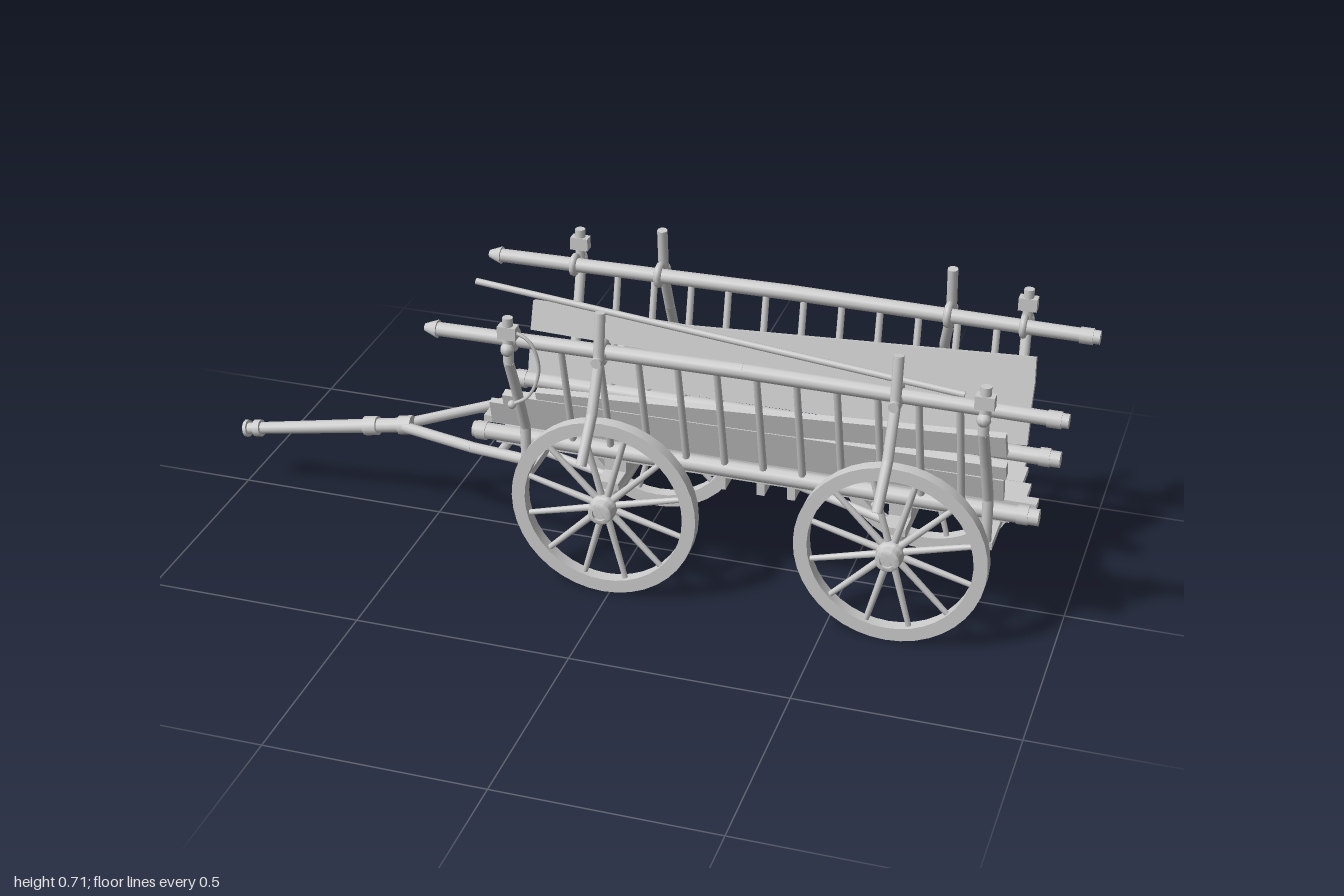
import * as THREE from 'three';
import { toCreasedNormals } from 'three/addons/utils/BufferGeometryUtils.js';

const mat = new THREE.MeshStandardMaterial({ color: 0xcccccc });
const V = (x, y, z) => new THREE.Vector3(x, y, z);
const UP = V(0, 1, 0);

function add(parent, name, geo, x = 0, y = 0, z = 0) {
  const m = new THREE.Mesh(geo, mat);
  m.name = name;
  m.position.set(x, y, z);
  parent.add(m);
  return m;
}

// round pole between two points
function pole(parent, name, a, b, r0, r1 = r0, sides = 10) {
  const d = b.clone().sub(a);
  const m = add(parent, name, new THREE.CylinderGeometry(r1, r0, d.length(), sides));
  m.position.copy(a).addScaledVector(d, 0.5);
  m.quaternion.setFromUnitVectors(UP, d.normalize());
  return m;
}

// bent pole with rounded joints
function bentPole(parent, name, pts, r) {
  const g = new THREE.Group();
  g.name = name;
  parent.add(g);
  for (let i = 0; i < pts.length - 1; i++) {
    pole(g, name + 'Length', pts[i], pts[i + 1], r);
    if (i) add(g, name + 'Joint', new THREE.SphereGeometry(r, 10, 8), ...pts[i].toArray());
  }
  return g;
}

function lathe(pts) {
  const geo = new THREE.LatheGeometry(pts.map(p => new THREE.Vector2(...p)), 40);
  return toCreasedNormals(geo, 0.6);
}

// spoked wheel, outer side toward +z
function wheel(x, side) {
  const g = new THREE.Group();
  g.name = 'wheel';
  g.position.set(x, 0.216, 0.202 * side);
  if (side < 0) g.rotation.y = Math.PI;
  const rim = lathe([[0.185, -0.015], [0.216, -0.015], [0.216, 0.015], [0.185, 0.015], [0.185, -0.015]]);
  add(g, 'rim', rim).rotation.x = Math.PI / 2;
  const hub = lathe([[0, -0.035], [0.022, -0.035], [0.026, -0.018], [0.031, -0.012], [0.031, 0.014],
    [0.027, 0.02], [0.027, 0.038], [0.022, 0.041], [0.016, 0.041], [0.016, 0.034], [0, 0.034]]);
  add(g, 'hub', hub).rotation.x = Math.PI / 2;
  for (let i = 0; i < 12; i++) {
    const a = (i + 0.5) * Math.PI / 6, c = Math.cos(a), s = Math.sin(a);
    pole(g, 'spoke', V(c * 0.025, s * 0.025, 0), V(c * 0.19, s * 0.19, 0), 0.0085, 0.0065, 8);
  }
  return g;
}

// ladder side with rails, rungs, stakes and levers
function ladderSide(s) {
  const g = new THREE.Group();
  g.name = 'ladderSide';
  pole(g, 'topRail', V(-0.4, 0.6, 0.202 * s), V(0.3, 0.606, 0.202 * s), 0.016, 0.018);
  pole(g, 'topRail', V(0.3, 0.606, 0.202 * s), V(1, 0.6, 0.202 * s), 0.018, 0.016);
  pole(g, 'railTip', V(-0.43, 0.6, 0.202 * s), V(-0.4, 0.6, 0.202 * s), 0.009, 0.021);
  pole(g, 'railCollar', V(0.955, 0.6, 0.202 * s), V(0.985, 0.6, 0.202 * s), 0.019);
  pole(g, 'bottomRail', V(-0.35, 0.322, 0.133 * s), V(0.945, 0.32, 0.133 * s), 0.019);
  for (const x of [-0.33, 0.91])
    pole(g, 'railCollar', V(x - 0.012, 0.321, 0.133 * s), V(x + 0.012, 0.321, 0.133 * s), 0.022);
  for (let i = 0; i < 11; i++) {
    const x = -0.11 + i * 0.0885;
    pole(g, 'rung', V(x, 0.32, 0.133 * s), V(x - 0.004, 0.6, 0.202 * s), 0.009, 0.008, 8);
  }
  for (const x of [-0.22, 0.83]) {
    bentPole(g, 'cornerStake', [V(x + 0.01, 0.255, 0.172 * s), V(x + 0.008, 0.37, 0.17 * s),
      V(x + 0.004, 0.47, 0.205 * s), V(x, 0.565, 0.243 * s), V(x, 0.675, 0.243 * s)], 0.012);
    add(g, 'stakeCap', new THREE.BoxGeometry(0.042, 0.03, 0.025), x, 0.64, 0.243 * s);
    pole(g, 'stakePin', V(x, 0.6, 0.2 * s), V(x, 0.6, 0.252 * s), 0.01);
    add(g, 'pinKnob', new THREE.SphereGeometry(0.016, 8, 6), x, 0.6, 0.25 * s);
    const ring = add(g, 'railRing', new THREE.TorusGeometry(0.02, 0.008, 8, 16), x, 0.602, 0.202 * s);
    ring.rotation.y = Math.PI / 2;
    pole(g, 'stakeBrace', V(x, 0.262, 0.1 * s), V(x + 0.008, 0.285, 0.17 * s), 0.009);
  }
  for (const x of [-0.015, 0.64]) {
    const k = x > 0 && s < 0 ? 0.02 : 0;
    bentPole(g, 'sideLever', [V(x + k, 0.708, 0.224 * s), V(x + k, 0.59, 0.238 * s),
      V(x, 0.49, 0.285 * s), V(x - 0.005, 0.395, 0.345 * s)], 0.012);
    const ring = add(g, 'leverRing', new THREE.TorusGeometry(0.022, 0.009, 8, 16), x + k, 0.604, 0.205 * s);
    ring.rotation.y = Math.PI / 2;
    pole(g, 'leverPin', V(x + k, 0.6, 0.2 * s), V(x + k, 0.6, 0.256 * s), 0.012);
  }
  return g;
}

// planks leaning on a ladder: [x centre, height up the slope, length, width, thickness, tilt]
function leaningPlanks(s, list) {
  const g = new THREE.Group();
  g.name = 'leaningPlanks';
  g.position.set(0, 0.32, 0.119 * s);
  g.rotation.x = 0.245 * s;
  for (const [x, y, len, w, t, tilt] of list)
    add(g, 'plank', new THREE.BoxGeometry(len, w, t), x, y, 0).rotation.z = tilt;
  return g;
}

export function createModel() {
  const cart = new THREE.Group();
  cart.name = 'ladderCart';

  // wheels and axles
  for (const x of [-0.015, 0.64]) {
    for (const s of [1, -1]) cart.add(wheel(x, s));
    pole(cart, 'axle', V(x, 0.226, -0.19), V(x, 0.226, 0.19), 0.021, 0.021, 12);
    add(cart, 'axleBeam', new THREE.BoxGeometry(0.05, 0.018, 0.36), x, 0.256, 0);
    add(cart, 'bolster', new THREE.BoxGeometry(0.05, 0.036, 0.25), x, 0.28, 0);
  }
  for (const s of [1, -1]) cart.add(ladderSide(s));

  // undercarriage
  for (const x of [-0.21, 0.84])
    add(cart, 'endCrossbar', new THREE.BoxGeometry(0.03, 0.018, 0.36), x, 0.258, 0);
  add(cart, 'reachBeam', new THREE.BoxGeometry(1.14, 0.04, 0.04), 0.3, 0.274, 0.018);
  add(cart, 'reachBeam', new THREE.BoxGeometry(1.08, 0.045, 0.036), 0.32, 0.274, -0.024);
  for (const x of [0.23, 0.32, 0.39])
    add(cart, 'floorCrossbar', new THREE.BoxGeometry(0.018, 0.04, 0.22), x, 0.272, 0);
  for (const s of [1, -1]) {
    pole(cart, 'frontStrut', V(-0.29, 0.24, 0.02 * s), V(-0.02, 0.25, 0.13 * s), 0.01);
    pole(cart, 'rearStrut', V(0.3, 0.262, 0.02 * s), V(0.64, 0.25, 0.14 * s), 0.01);
  }

  // floor boards: [x start, x end, z, width, y]
  for (const [x0, x1, z, w, y] of [[-0.3, 0.88, -0.065, 0.07, 0.3], [-0.28, 0.87, -0.11, 0.05, 0.298],
    [-0.36, 0.9, 0.01, 0.07, 0.302], [-0.28, 0.9, 0.05, 0.03, 0.3], [-0.3, 0.88, 0.095, 0.06, 0.299]])
    add(cart, 'floorBoard', new THREE.BoxGeometry(x1 - x0, 0.016, w), (x0 + x1) / 2, y, z);
  add(cart, 'looseBoard', new THREE.BoxGeometry(1.22, 0.016, 0.03), 0.32, 0.314, 0.06).rotation.y = -0.015;
  add(cart, 'looseBoard', new THREE.BoxGeometry(0.85, 0.013, 0.03), 0.2, 0.317, -0.04).rotation.y = 0.12;

  // boards stacked along both ladders
  cart.add(leaningPlanks(1, [
    [0.28, 0.06, 1.17, 0.06, 0.016, 0], [0.3, 0.108, 1.14, 0.035, 0.022, 0.01],
    [0.34, 0.15, 1.06, 0.055, 0.018, 0.07]]));
  cart.add(leaningPlanks(-1, [
    [0.28, 0.065, 1.18, 0.07, 0.018, 0], [0.28, 0.15, 1.18, 0.07, 0.018, -0.025],
    [0.45, 0.18, 0.84, 0.06, 0.016, 0.05]]));
  pole(cart, 'thinPole', V(-0.45, 0.545, -0.16), V(0.72, 0.445, -0.138), 0.008, 0.008, 8);

  // draw shaft with fork, collars and grip
  const tip = V(-0.995, 0.145, 0), joint = V(-0.57, 0.225, 0);
  const along = t => tip.clone().lerp(joint, t);
  pole(cart, 'drawShaft', tip, joint, 0.014, 0.018);
  pole(cart, 'gripCollar', along(0), along(0.02), 0.021);
  pole(cart, 'gripCollar', along(0.06), along(0.1), 0.021);
  pole(cart, 'shaftCollar', along(0.74), along(0.82), 0.023);
  pole(cart, 'shaftCollar', along(0.95), along(1.03), 0.023);
  for (const s of [1, -1])
    bentPole(cart, 'shaftFork', [V(-0.58, 0.223, 0.008 * s), V(-0.36, 0.262, 0.118 * s),
      V(-0.22, 0.272, 0.15 * s)], 0.013);
  pole(cart, 'forkBar', V(-0.29, 0.266, -0.135), V(-0.29, 0.266, 0.135), 0.011);
  add(cart, 'forkBlock', new THREE.BoxGeometry(0.03, 0.05, 0.03), -0.28, 0.25, 0);

  // hanging cord with peg on the front left stake
  const cord = new THREE.CatmullRomCurve3([V(-0.215, 0.645, 0.243), V(-0.17, 0.625, 0.246),
    V(-0.15, 0.56, 0.244), V(-0.175, 0.49, 0.243), V(-0.215, 0.462, 0.243)]);
  add(cart, 'cord', new THREE.TubeGeometry(cord, 24, 0.004, 6));
  add(cart, 'cordPeg', new THREE.SphereGeometry(0.01, 8, 6), -0.215, 0.462, 0.243);
  return cart;
}
